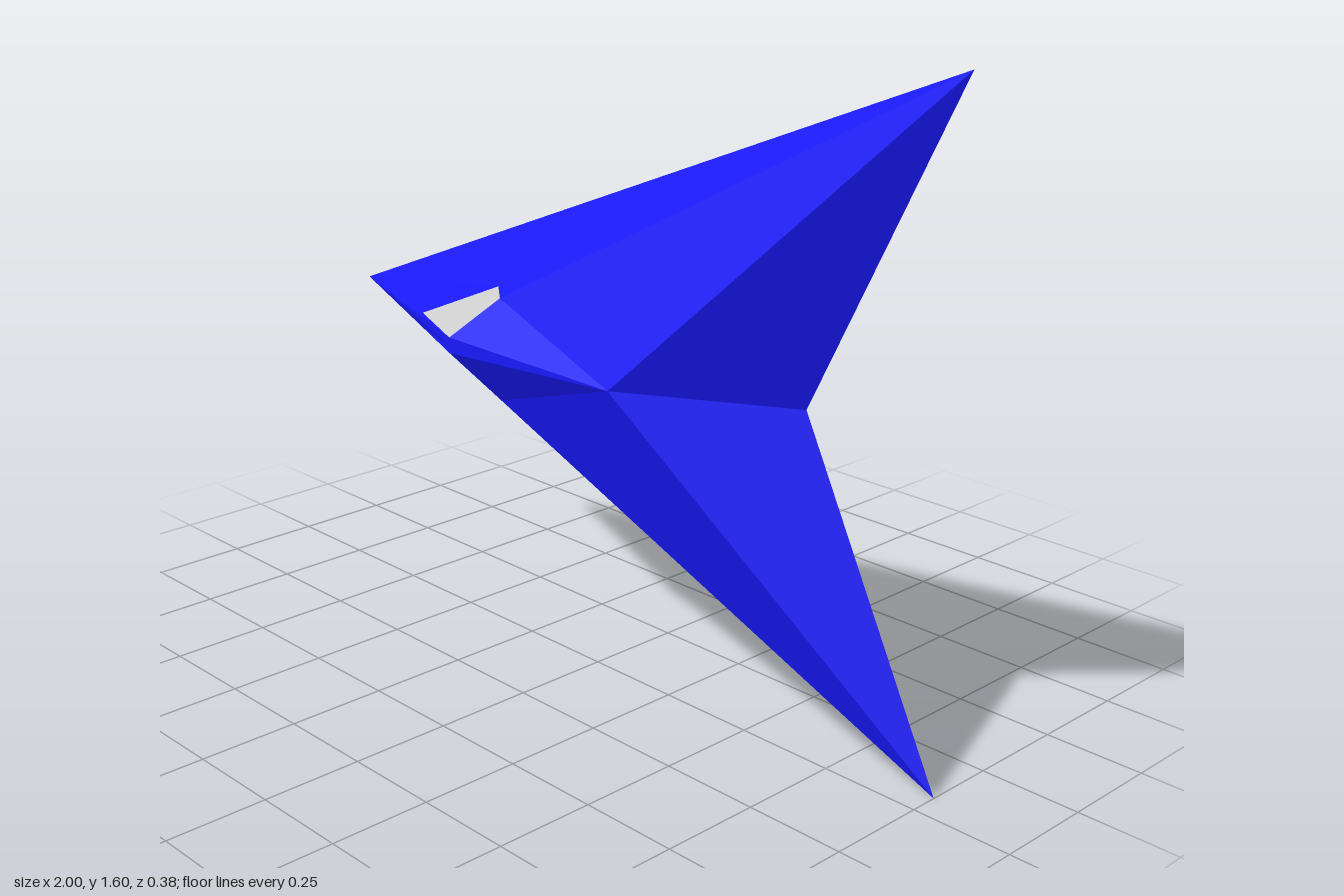
import * as THREE from 'three';

// Corner points of the upper half: [x, height above the centre line, z]
const nose = [-1, 0, -0.07], wingTip = [1, 0.8, -0.07], notch = [0.6, 0, -0.07];
const frontPeak = [0.2, 0, 0.158], rearPeak = [0.2, 0, -0.195];
const winFront = [-0.55, 0.02, 0.098], winTop = [-0.33, 0.02, 0.19];
const winSide = [-0.26, 0.145, 0.089], winBack = [-0.215, 0.13, 0.123];
const ridge = [-0.33, 0, 0.19];
const CENTRE_Y = 0.8;

// Flat-shaded facets, fanned into triangles and mirrored across the centre line
function facets(name, color, polygons) {
  const positions = [];
  for (const side of [1, -1]) {
    for (const polygon of polygons) {
      const p = side > 0 ? polygon : [...polygon].reverse();
      for (let i = 1; i < p.length - 1; i++) {
        for (const [x, y, z] of [p[0], p[i], p[i + 1]]) positions.push(x, CENTRE_Y + side * y, z);
      }
    }
  }
  const geometry = new THREE.BufferGeometry();
  geometry.setAttribute('position', new THREE.Float32BufferAttribute(positions, 3));
  geometry.computeVertexNormals();
  const mesh = new THREE.Mesh(geometry, new THREE.MeshStandardMaterial({ color, flatShading: true }));
  mesh.name = name;
  return mesh;
}

export function createModel() {
  const group = new THREE.Group();
  group.name = 'arrowheadCraft';
  const blue = 0x1919ff, grey = 0xcccccc;

  // Wings and nose
  group.add(facets('upperHull', blue, [
    [nose, winFront, winSide],
    [nose, winSide, wingTip],
    [winSide, winBack, wingTip],
    [frontPeak, wingTip, winBack],
    [frontPeak, notch, wingTip],
  ]));

  // Raised cockpit spine between the windows
  group.add(facets('canopy', blue, [
    [nose, ridge, winTop, winFront],
    [ridge, frontPeak, winTop],
    [winTop, frontPeak, winBack],
  ]));

  group.add(facets('cockpitWindows', grey, [[winFront, winTop, winBack, winSide]]));

  // Underside
  group.add(facets('lowerHull', grey, [
    [nose, wingTip, rearPeak],
    [rearPeak, wingTip, notch],
  ]));
  return group;
}
